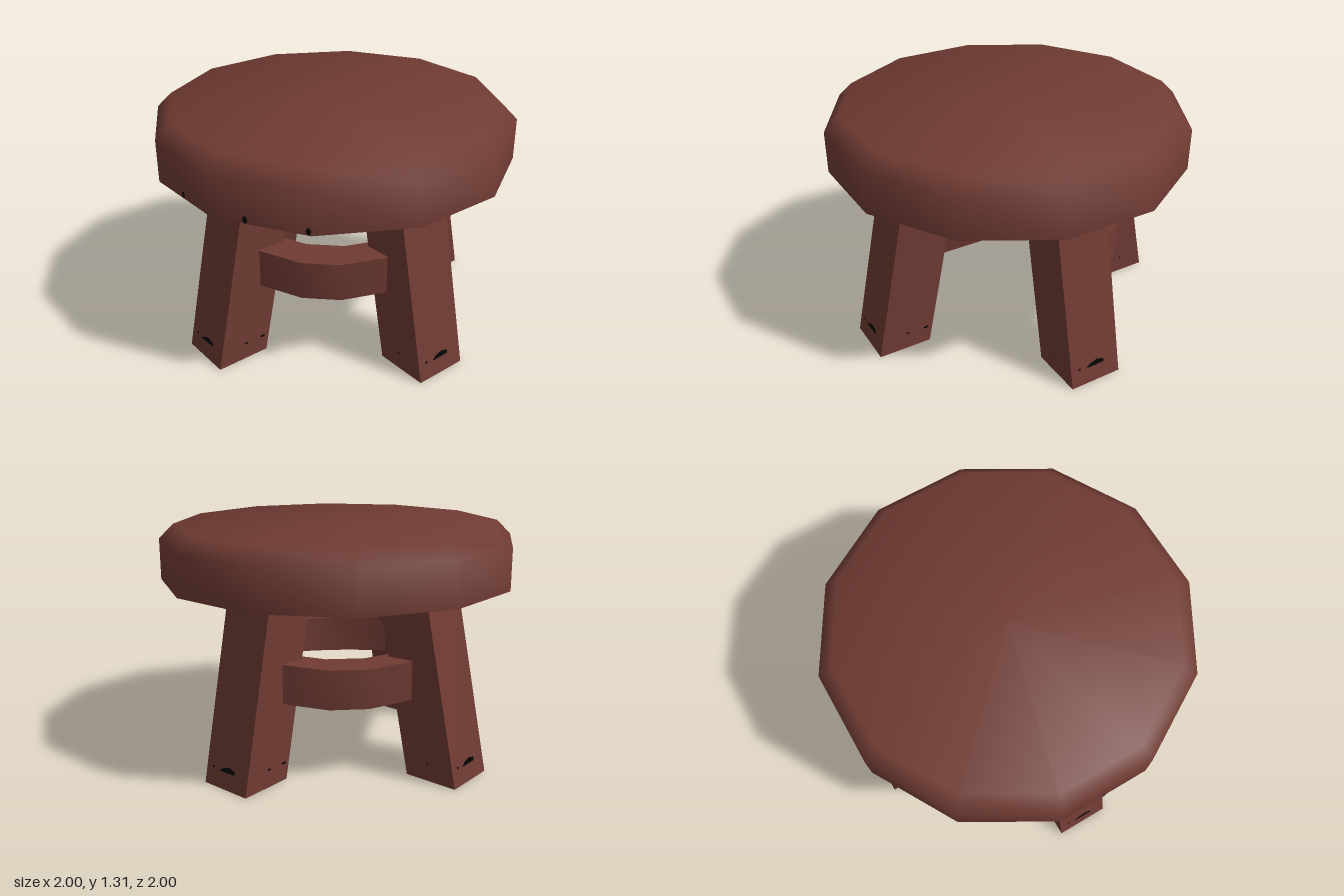
import * as THREE from 'three';
import { toCreasedNormals } from 'three/addons/utils/BufferGeometryUtils.js';

const wood = new THREE.MeshStandardMaterial({ color: 0x703b33 });
wood.name = 'reddish brown wood';
const black = new THREE.MeshStandardMaterial({ color: 0x040404 });
black.name = 'black stain';

function part(name, geometry, material = wood) {
  const mesh = new THREE.Mesh(geometry, material);
  mesh.name = name;
  return mesh;
}

const toShape = (points) => new THREE.Shape(points.map(([x, y]) => new THREE.Vector2(x, y)));

// Small oval spot facing +z
const spot = (x, y, z, w, h) => new THREE.CircleGeometry(0.5, 6).scale(w, h, 1).translate(x, y, z);

// Twelve-sided seat with a chamfered rim, its normals rounding softly from side to top
function seatGeometry() {
  const profile = [[1, 1], [1, 1.23], [0.92, 1.31], [0, 1.31]];
  const tilts = [0, Math.PI / 8, Math.PI * 3 / 8, Math.PI / 2];
  const g = new THREE.LatheGeometry(profile.map(([r, y]) => new THREE.Vector2(r, y)), 12);
  const n = g.attributes.normal;
  for (let i = 0; i < n.count; i++) {
    const turn = Math.floor(i / profile.length) * Math.PI / 6;
    const tilt = tilts[i % profile.length];
    n.setXYZ(i, Math.cos(tilt) * Math.sin(turn), Math.sin(tilt), Math.cos(tilt) * Math.cos(turn));
  }
  return g;
}

// Ragged dark stain in the middle of the underside
function stainGeometry() {
  const points = [];
  for (let i = 0; i < 40; i++) {
    const a = i * Math.PI / 20;
    const r = 0.62 + 0.04 * Math.sin(5 * a) + 0.025 * Math.sin(13 * a + 1);
    points.push([r * Math.cos(a), r * Math.sin(a)]);
  }
  return new THREE.ShapeGeometry(toShape(points)).rotateX(Math.PI / 2).translate(0, 0.997, 0);
}

// Leans a leg-shaped geometry outward (+z) towards the foot
function splay(g) {
  const p = g.attributes.position;
  for (let i = 0; i < p.count; i++) p.setZ(i, p.getZ(i) + 0.771 - 0.212 * p.getY(i));
  return toCreasedNormals(g, 0.6);
}

// Square leg with dark scuffs near the foot
function makeLeg(name) {
  const leg = new THREE.Group();
  leg.name = name;
  leg.add(part('legPost', splay(new THREE.BoxGeometry(0.306, 1, 0.306).translate(0, 0.5, 0))));
  const scuff = [[-0.058, 0.09], [0.056, 0.092], [0.06, 0.11], [0.015, 0.122], [-0.03, 0.11]];
  const outerScuff = new THREE.ShapeGeometry(toShape(scuff)).translate(0, 0, 0.156);
  leg.add(part('footScuff', splay(outerScuff), black));
  // quarter turns to the face, offset across it, width, height
  const spots = [
    [0, -0.1, 0.018, 0.014],
    [1, 0, 0.025, 0.012], [1, 0.11, 0.035, 0.016],
    [2, -0.06, 0.06, 0.012], [2, 0.02, 0.045, 0.012],
    [3, 0, 0.014, 0.01],
  ];
  for (const [face, x, w, h] of spots) {
    const g = spot(x, 0.1, 0.156, w, h).rotateY(face * Math.PI / 2);
    leg.add(part('footSpot', splay(g), black));
  }
  return leg;
}

// Three-segment bar bowed outward, dipping slightly in its middle
function stretcherGeometry() {
  const outer = [[-0.34, 0.565], [-0.105, 0.645], [0.105, 0.645], [0.34, 0.565]];
  const inner = outer.map(([x, z]) => [x, z - 0.2]).reverse();
  const shape = toShape([...outer, ...inner]);
  const g = new THREE.ExtrudeGeometry(shape, { depth: 0.215, bevelEnabled: false });
  g.rotateX(Math.PI / 2);
  const p = g.attributes.position;
  for (let i = 0; i < p.count; i++) {
    const dip = Math.abs(p.getX(i)) < 0.2 ? 0.013 : 0;
    p.setY(i, p.getY(i) + 0.65 - dip);
  }
  return toCreasedNormals(g, 0.6);
}

export function createModel() {
  const stool = new THREE.Group();
  stool.name = 'stool';

  // Seat, its flat underside and the stain on it
  stool.add(part('seat', seatGeometry()));
  const underside = new THREE.CircleGeometry(1, 12).rotateX(Math.PI / 2).translate(0, 1, 0);
  stool.add(part('seatUnderside', underside));
  stool.add(part('undersideStain', stainGeometry(), black));

  // Small spots along the lower rim: facet angle in degrees, offset along the facet
  for (const [angle, x] of [[-45, 0], [-15, -0.08], [-15, 0.245]]) {
    const g = spot(x, 1.022, 0.969, 0.028, 0.042).rotateY(angle * Math.PI / 180);
    stool.add(part('rimSpot', g, black));
  }
  for (const [x, z] of [[0.63, 0.7], [0.29, 0.9], [-0.34, 0.88], [-0.72, 0.42]]) {
    const g = spot(0, 0, 0, 0.06, 0.06).rotateX(Math.PI / 2).translate(x, 0.997, z);
    stool.add(part('undersideSpot', g, black));
  }

  // Four legs splayed along the diagonals
  ['frontLeft', 'backLeft', 'backRight', 'frontRight'].forEach((corner, i) => {
    const leg = makeLeg(corner + 'Leg');
    leg.rotation.y = Math.PI / 4 + i * Math.PI / 2;
    stool.add(leg);
  });

  // Stretchers joining the front pair and the back pair
  const front = part('frontStretcher', stretcherGeometry());
  const back = part('backStretcher', stretcherGeometry());
  back.rotation.y = Math.PI;
  stool.add(front, back);

  return stool;
}
